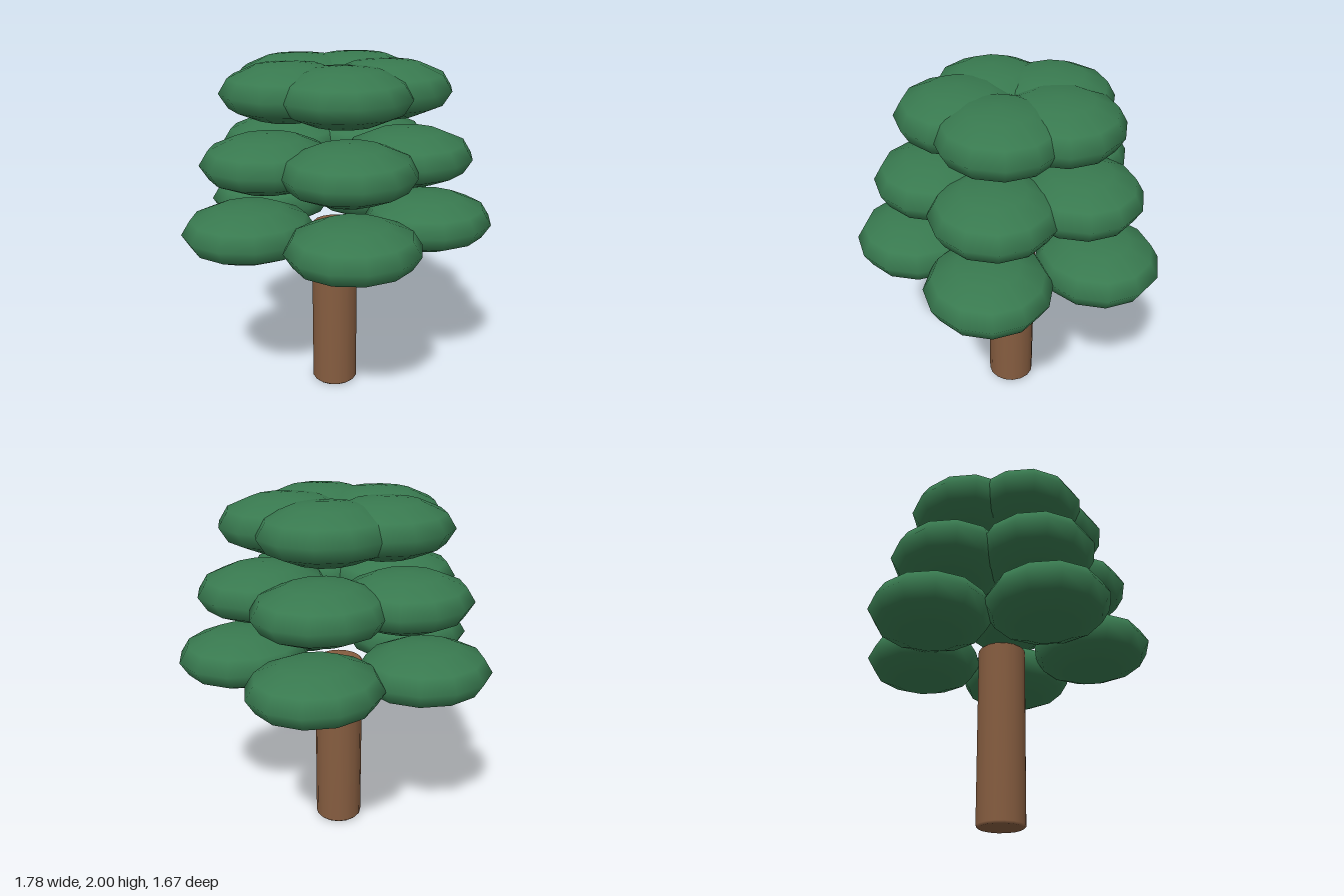
import * as THREE from 'three';

const leafMaterial = new THREE.MeshStandardMaterial({ color: 0x38794f });
const barkMaterial = new THREE.MeshStandardMaterial({ color: 0x865d40 });

const AXIS_Z = -0.055; // the tree's axis sits slightly behind the origin

// Trunk with a small rounded rim at both ends
function makeTrunk() {
  const r = 0.137, top = 1.04, b = 0.012;
  const profile = [[0, 0], [r - b, 0], [r, b], [r, top - b], [r - b, top], [0, top]]
    .map(([x, y]) => new THREE.Vector2(x, y));
  const trunk = new THREE.Mesh(new THREE.LatheGeometry(profile, 16), barkMaterial);
  trunk.name = 'trunk';
  trunk.position.z = AXIS_Z;
  return trunk;
}

// Ring of five flattened leaf clumps, one of them facing the front
function makeLeafTier(name, y, ringRadius, clump) {
  const tier = new THREE.Group();
  tier.name = name;
  tier.position.set(0, y, AXIS_Z);
  for (let i = 0; i < 5; i++) {
    const a = (i / 5) * Math.PI * 2;
    const mesh = new THREE.Mesh(clump, leafMaterial);
    mesh.name = 'leafClump';
    mesh.position.set(Math.sin(a) * ringRadius, 0, Math.cos(a) * ringRadius);
    tier.add(mesh);
  }
  return tier;
}

export function createModel() {
  const tree = new THREE.Group();
  tree.name = 'tree';
  tree.add(makeTrunk());

  // All clumps share one low-poly, smooth-shaded ellipsoid
  const clump = new THREE.SphereGeometry(1, 12, 6).scale(0.375, 0.16, 0.345);
  tree.add(makeLeafTier('lowerLeaves', 1.085, 0.541, clump));
  tree.add(makeLeafTier('middleLeaves', 1.463, 0.415, clump));
  tree.add(makeLeafTier('upperLeaves', 1.84, 0.283, clump));
  return tree;
}
